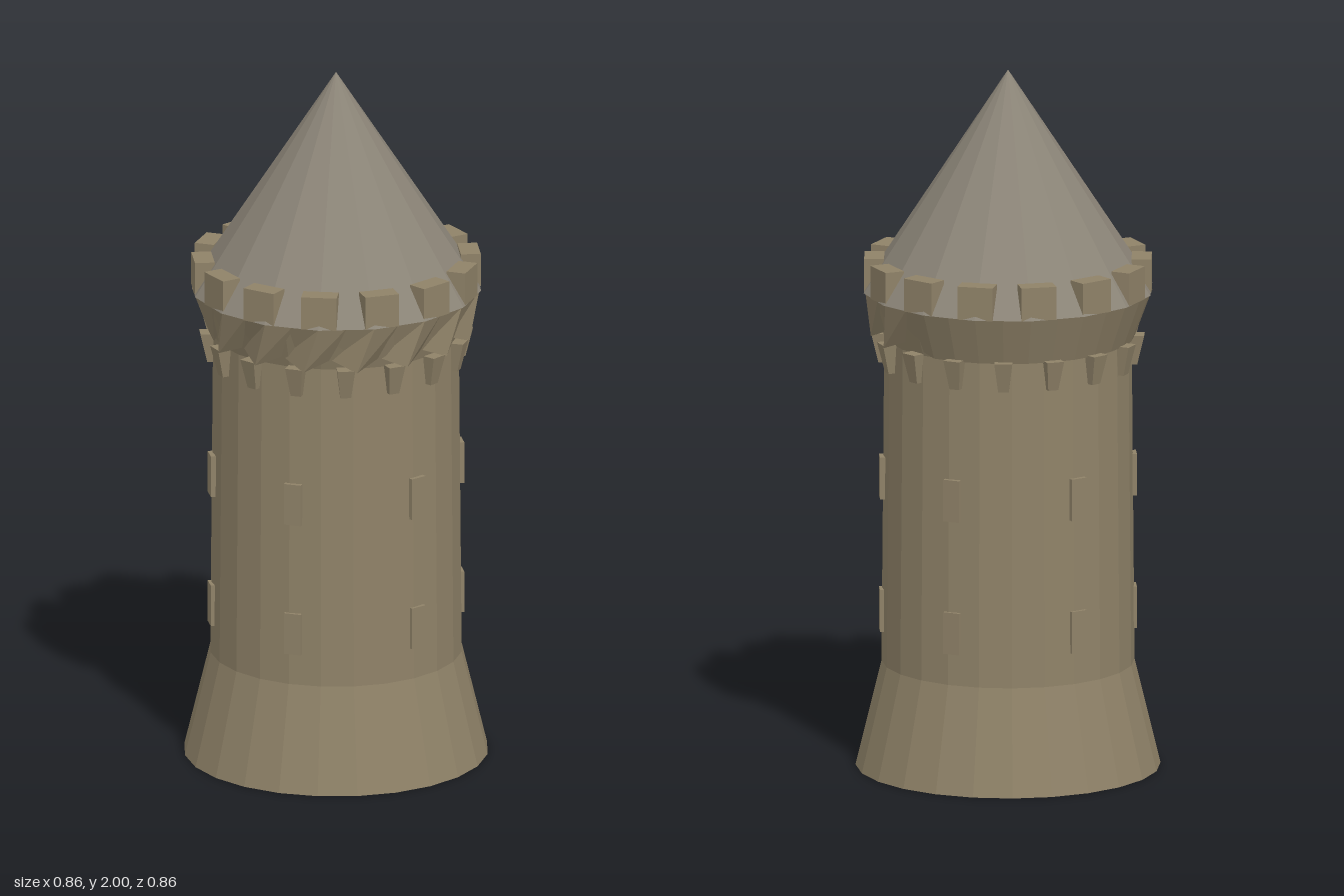
import * as THREE from 'three';

const stone = new THREE.MeshStandardMaterial({ color: 0x8f8268, flatShading: true, side: THREE.DoubleSide });
const slate = new THREE.MeshStandardMaterial({ color: 0x8c8578, flatShading: true, side: THREE.DoubleSide });

function addMesh(parent, name, geometry, material = stone) {
  const mesh = new THREE.Mesh(geometry, material);
  mesh.name = name;
  parent.add(mesh);
  return mesh;
}

// Places copies of a part around the tower, facing outward
function ring(parent, name, geometry, count, radius, y, startDeg = 0) {
  const group = new THREE.Group();
  group.name = name + 'Ring';
  for (let i = 0; i < count; i++) {
    const a = THREE.MathUtils.degToRad(startDeg) + (i / count) * Math.PI * 2;
    const mesh = addMesh(group, name, geometry);
    mesh.position.set(Math.sin(a) * radius, y, Math.cos(a) * radius);
    mesh.rotation.y = a;
  }
  parent.add(group);
}

// Open tapered band of wall
function band(r0, r1, y0, y1, sides) {
  return new THREE.CylinderGeometry(r1, r0, y1 - y0, sides, 1, true).translate(0, (y0 + y1) / 2, 0);
}

// Weathered stone collar: slanted, toothed facets, left plain on the back-left side
function collarGeometry(sides) {
  const points = [], index = [];
  const step = (Math.PI * 2) / sides;
  for (let i = 0; i <= sides; i++) {
    const a = (i % sides) * step;
    const plain = Math.cos(a - Math.PI * 1.25) > 0.35;
    const tooth = i % 2 === 0;
    const lowR = plain ? 0.355 : tooth ? 0.385 : 0.352;
    const lowY = plain || tooth ? 1.235 : 1.265;
    const b = plain ? a : a - step * 0.6;
    points.push(Math.sin(b) * lowR, lowY, Math.cos(b) * lowR);
    const topR = plain || tooth ? 0.405 : 0.39;
    points.push(Math.sin(a) * topR, 1.37, Math.cos(a) * topR);
    if (i < sides) {
      const k = i * 2;
      index.push(k, k + 2, k + 3, k, k + 3, k + 1);
    }
  }
  const geometry = new THREE.BufferGeometry();
  geometry.setAttribute('position', new THREE.Float32BufferAttribute(points, 3));
  geometry.setIndex(index);
  geometry.computeVertexNormals();
  return geometry;
}

// Small bracket that narrows toward the wall at its foot
function corbelGeometry() {
  const geometry = new THREE.BoxGeometry(0.05, 0.085, 0.05);
  const p = geometry.attributes.position;
  for (let i = 0; i < p.count; i++) {
    if (p.getY(i) < 0) {
      p.setX(i, p.getX(i) * 0.6);
      if (p.getZ(i) > 0) p.setZ(i, 0.005);
    }
  }
  geometry.computeVertexNormals();
  return geometry;
}

export function createModel() {
  const tower = new THREE.Group();
  tower.name = 'tower';

  // Walls
  addMesh(tower, 'flaredBase', band(0.428, 0.355, 0, 0.3, 24));
  addMesh(tower, 'shaft', band(0.355, 0.347, 0.3, 1.25, 24));

  // Overhanging collar with brackets below and battlements above
  addMesh(tower, 'collar', collarGeometry(32));
  addMesh(tower, 'collarCore', band(0.347, 0.39, 1.235, 1.37, 24));
  ring(tower, 'corbel', corbelGeometry(), 16, 0.358, 1.198, 11.25);
  ring(tower, 'merlon', new THREE.BoxGeometry(0.1, 0.095, 0.056), 14, 0.375, 1.417);

  // Two rows of narrow windows
  const windowBlock = new THREE.BoxGeometry(0.05, 0.12, 0.03);
  for (const y of [0.45, 0.832]) ring(tower, 'window', windowBlock, 6, 0.346, y, -13);

  // Roof
  const roof = new THREE.ConeGeometry(0.41, 0.63, 16, 1, true).translate(0, 1.685, 0);
  addMesh(tower, 'roof', roof, slate);

  return tower;
}
